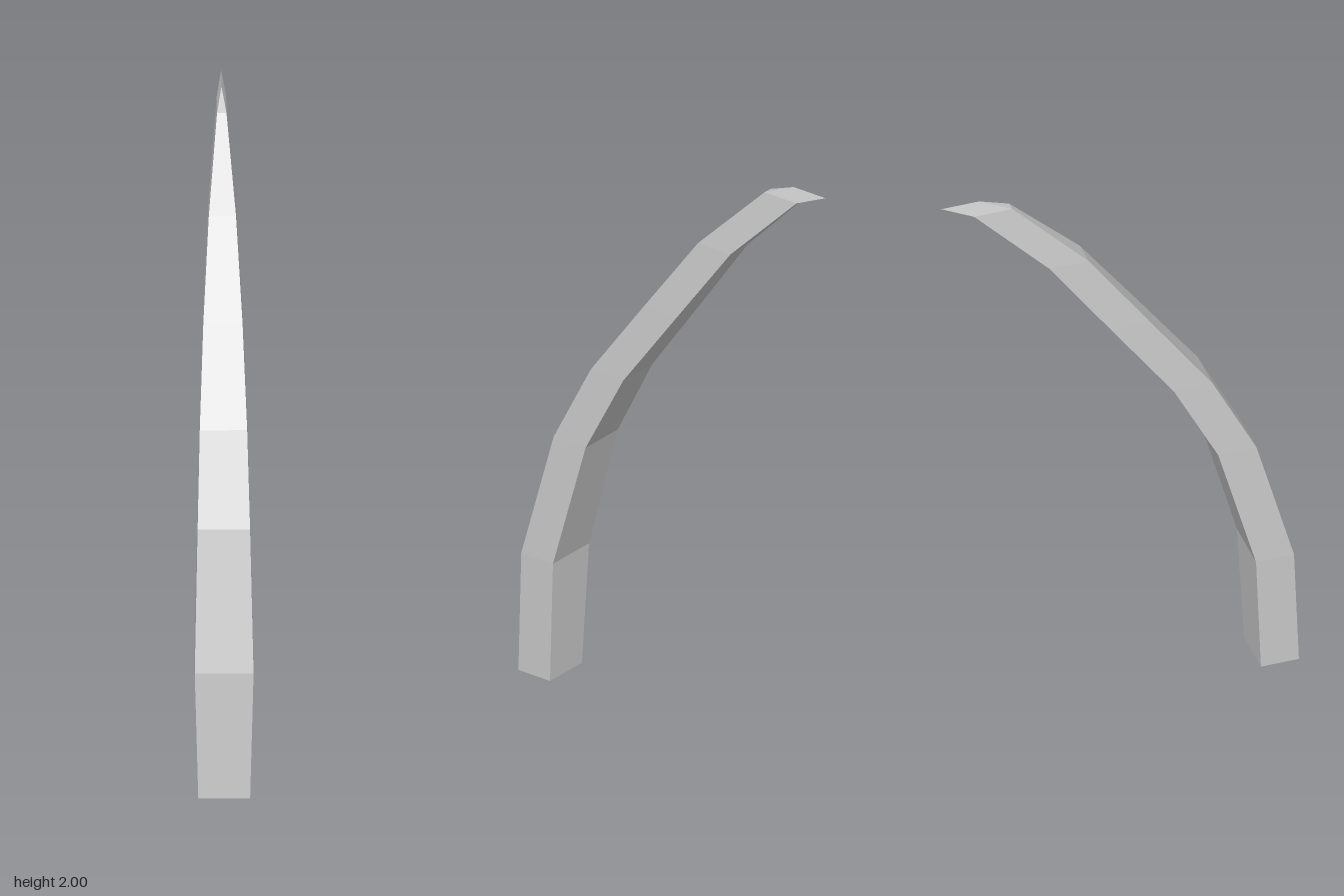
import * as THREE from 'three';

// Cross-sections from base to tip: height, front z, back z, half width
const SECTIONS = [
  [0, 0.585, 0.458, 0.082],
  [0.425, 0.565, 0.438, 0.093],
  [0.87, 0.443, 0.315, 0.083],
  [1.15, 0.3, 0.17, 0.075],
  [1.43, 0.098, -0.033, 0.062],
  [1.71, -0.105, -0.235, 0.043],
  [1.955, -0.35, -0.478, 0.015],
  [2, -0.455, -0.583, 0],
];

// Four corners of a section, counterclockwise seen from above
const ring = ([y, front, back, w]) => [
  new THREE.Vector3(w, y, front),
  new THREE.Vector3(w, y, back),
  new THREE.Vector3(-w, y, back),
  new THREE.Vector3(-w, y, front),
];

function loftGeometry(sections) {
  const points = [];
  const triangle = (a, b, c) => {
    if (new THREE.Triangle(a, b, c).getArea() > 1e-7) points.push(a, b, c);
  };
  const quad = (a, b, c, d) => {
    triangle(a, b, c);
    triangle(a, c, d);
  };
  const rings = sections.map(ring);
  // Walls between neighbouring sections
  for (let s = 0; s < rings.length - 1; s++) {
    const lower = rings[s], upper = rings[s + 1];
    for (let i = 0; i < 4; i++) {
      const j = (i + 1) % 4;
      quad(lower[i], lower[j], upper[j], upper[i]);
    }
  }
  // Flat base
  const [a, b, c, d] = rings[0];
  quad(d, c, b, a);
  const geometry = new THREE.BufferGeometry().setFromPoints(points);
  geometry.computeVertexNormals();
  return geometry;
}

export function createModel() {
  const group = new THREE.Group();
  group.name = 'curvedSpike';

  // Tapering horn that sweeps backwards to a sharp edge
  const material = new THREE.MeshStandardMaterial({ color: 0xcccccc, flatShading: true });
  const spike = new THREE.Mesh(loftGeometry(SECTIONS), material);
  spike.name = 'spike';
  group.add(spike);

  return group;
}
